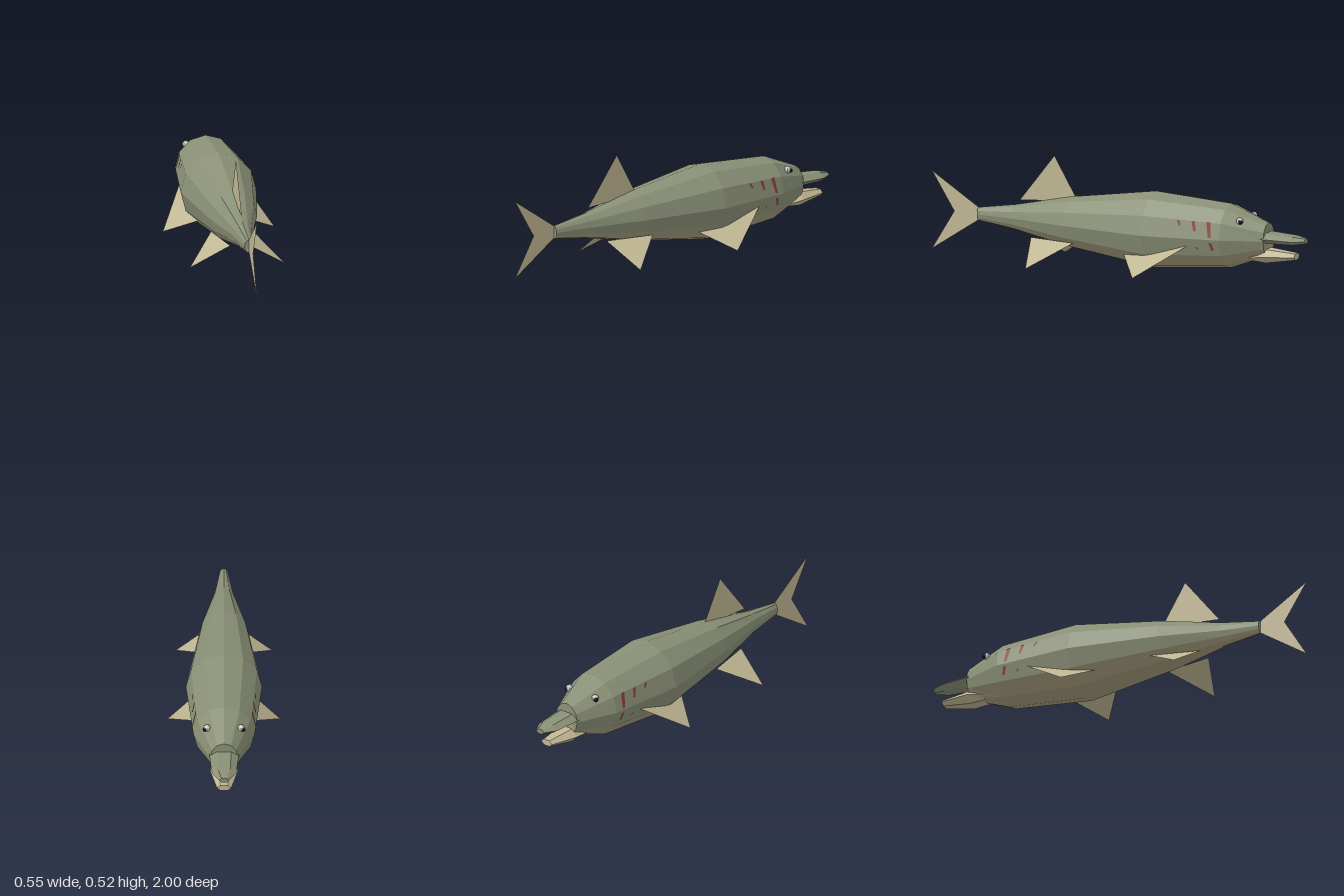
import * as THREE from 'three';

const BACK = 0x8a9076, BELLY = 0xa59c7c, FIN = 0xc0b793;

function mesh(name, geometry, color, side = THREE.FrontSide) {
  const m = new THREE.Mesh(geometry, new THREE.MeshStandardMaterial({ color, side, flatShading: true }));
  m.name = name;
  return m;
}

function fromPoints(points) {
  const g = new THREE.BufferGeometry();
  g.setFromPoints(points);
  g.computeVertexNormals();
  return g;
}

// Skin elliptical rings [z, halfWidth, top, bottom], ordered from +z to -z,
// over the segments first..last of a ring with the given number of sides.
function loft(rings, sides, first = 0, last = sides) {
  const at = ([z, rx, top, bottom], i) => {
    const a = (i / sides) * Math.PI * 2;
    return new THREE.Vector3(rx * Math.cos(a), (top + bottom) / 2 + ((top - bottom) / 2) * Math.sin(a), z);
  };
  const centre = ([z, , top, bottom]) => new THREE.Vector3(0, (top + bottom) / 2, z);
  const pts = [];
  const r0 = rings[0], rn = rings[rings.length - 1];
  for (let i = first; i < last; i++) {
    for (let k = 0; k < rings.length - 1; k++) {
      const a = rings[k], b = rings[k + 1];
      pts.push(at(a, i), at(b, i), at(a, i + 1));
      pts.push(at(a, i + 1), at(b, i), at(b, i + 1));
    }
    pts.push(centre(r0), at(r0, i), at(r0, i + 1));
    pts.push(centre(rn), at(rn, i + 1), at(rn, i));
  }
  return fromPoints(pts);
}

// Thin sheet fanned from its first corner
function sheet(name, corners, color) {
  const v = corners.map((c) => new THREE.Vector3(...c));
  const pts = [];
  for (let i = 1; i < v.length - 1; i++) pts.push(v[0], v[i], v[i + 1]);
  return mesh(name, fromPoints(pts), color, THREE.DoubleSide);
}

const bodyRings = [
  [0.75, 0.022, 0.237, 0.172],
  [0.55, 0.05, 0.267, 0.142],
  [0.25, 0.12, 0.33, 0.08],
  [-0.2, 0.186, 0.394, 0.013],
  [-0.6, 0.15, 0.365, 0.045],
  [-0.8, 0.068, 0.285, 0.12],
];

// Half width of the flank at a height and depth between the two widest rings
function flankX(y, z) {
  const t = (-0.2 - z) / 0.4;
  const rx = THREE.MathUtils.lerp(0.186, 0.15, t);
  const ry = THREE.MathUtils.lerp(0.19, 0.16, t);
  return rx * (1 - 0.134 * Math.abs(y - 0.204) / (ry * 0.5));
}

export function createModel() {
  const fish = new THREE.Group();
  fish.name = 'fish';

  // Body: green back and paler belly
  fish.add(mesh('back', loft(bodyRings, 12, -1, 7), BACK));
  fish.add(mesh('belly', loft(bodyRings, 12, 7, 11), BELLY));

  // Jaws
  fish.add(mesh('upperJaw', loft([
    [-0.78, 0.073, 0.243, 0.183],
    [-0.94, 0.059, 0.232, 0.185],
    [-1, 0.024, 0.222, 0.194],
  ], 6), BACK));
  fish.add(mesh('lowerJaw', loft([
    [-0.72, 0.06, 0.135, 0.093],
    [-0.8, 0.068, 0.162, 0.085],
    [-0.95, 0.035, 0.146, 0.11],
  ], 6), FIN));

  // Fins on the centre line
  fish.add(sheet('dorsalFin', [[0, 0.29, 0.53], [0, 0.525, 0.345], [0, 0.31, 0.22]], FIN));
  fish.add(sheet('tailFin', [
    [0, 0.207, 0.88], [0, 0.4, 1], [0, 0.237, 0.75], [0, 0.174, 0.75], [0, 0.012, 1],
  ], FIN));

  for (const s of [1, -1]) {
    const side = s > 0 ? 'left' : 'right';

    // Paired fins
    fish.add(sheet(side + 'PectoralFin',
      [[s * 0.155, 0.17, -0.44], [s * 0.12, 0.09, -0.08], [s * 0.275, 0.008, -0.195]], FIN));
    fish.add(sheet(side + 'PelvicFin',
      [[s * 0.1, 0.12, 0.2], [s * 0.045, 0.12, 0.45], [s * 0.235, 0, 0.395]], FIN));

    // Eye
    const eye = new THREE.Group();
    eye.name = side + 'Eye';
    eye.add(mesh('eyeball', new THREE.SphereGeometry(0.018, 8, 6), 0xd8d8d8));
    const pupil = mesh('pupil', new THREE.SphereGeometry(0.011, 8, 6), 0x151515);
    pupil.position.set(s * 0.011, -0.003, -0.008);
    eye.add(pupil);
    eye.position.set(s * 0.083, 0.297, -0.683);
    fish.add(eye);

    // Gill slits: upper and lower tapered marks [z, top, bottom, half thickness]
    const slits = [
      [-0.385, 0.29, 0.265, 0.007], [-0.462, 0.29, 0.243, 0.009], [-0.54, 0.29, 0.215, 0.011],
      [-0.555, 0.19, 0.15, 0.008], [-0.482, 0.165, 0.152, 0.004],
    ];
    for (const [z, top, bottom, w] of slits) {
      const p = (y, dz) => [s * (flankX(y, z + dz) + 0.003), y, z + dz];
      fish.add(sheet(side + 'GillSlit',
        [p(top, w), p(top, -w), p(bottom, -w - 0.008), p(bottom, -0.004)], 0x8c3b33));
    }
  }
  return fish;
}
